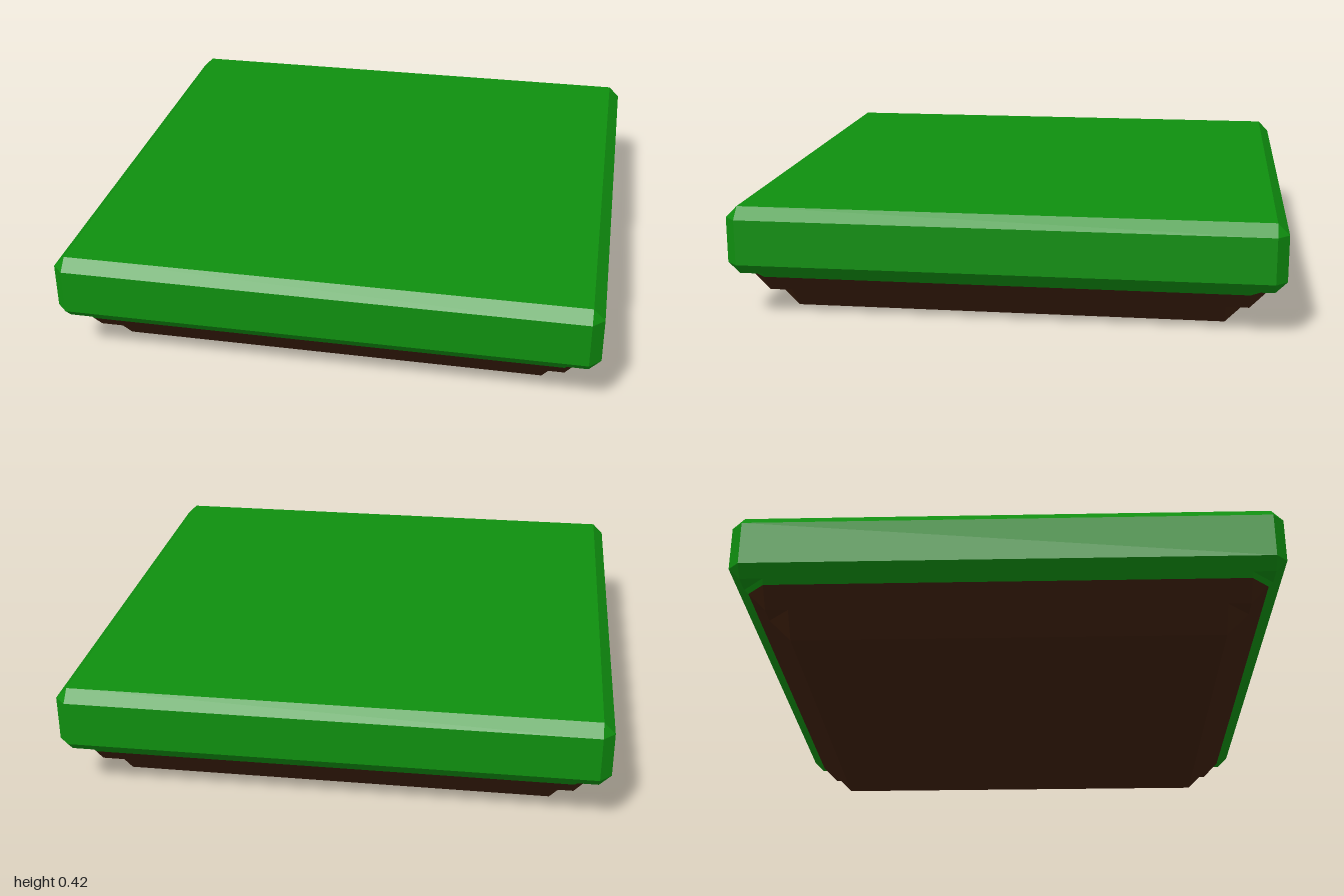
import * as THREE from 'three';

// Square ring of half-width h at height y, its corners cut back by c (8 points)
function ring([y, h, c]) {
  const pts = [];
  for (let i = 0; i < 4; i++) {
    const a = (i * Math.PI) / 2;
    for (const [x, z] of [[h, h - c], [h - c, h]]) {
      pts.push(new THREE.Vector3(
        x * Math.cos(a) - z * Math.sin(a), y, x * Math.sin(a) + z * Math.cos(a)));
    }
  }
  return pts;
}

// Flat-shaded skin over rings listed from top to bottom, with optional caps
function loft(name, color, sections, capTop, capBottom) {
  const pos = [];
  const tri = (a, b, c) => {
    const area = b.clone().sub(a).cross(c.clone().sub(a)).length();
    if (area > 1e-7) for (const p of [a, b, c]) pos.push(p.x, p.y, p.z);
  };
  const rings = sections.map(ring);
  for (let r = 0; r < rings.length - 1; r++) {
    const up = rings[r], low = rings[r + 1];
    for (let i = 0; i < 8; i++) {
      const j = (i + 1) % 8;
      tri(up[i], up[j], low[i]);
      tri(up[j], low[j], low[i]);
    }
  }
  const first = rings[0], last = rings[rings.length - 1];
  for (let i = 1; i < 7; i++) {
    if (capTop) tri(first[0], first[i + 1], first[i]);
    if (capBottom) tri(last[0], last[i], last[i + 1]);
  }
  const geo = new THREE.BufferGeometry();
  geo.setAttribute('position', new THREE.Float32BufferAttribute(pos, 3));
  geo.computeVertexNormals();
  const mesh = new THREE.Mesh(geo, new THREE.MeshStandardMaterial({ color, flatShading: true }));
  mesh.name = name;
  return mesh;
}

export function createModel() {
  const group = new THREE.Group();
  group.name = 'groundTile';

  // Bevelled turf slab with a sloping lower lip: [height, half-width, corner cut]
  group.add(loft('grass', 0x0f8f0f, [
    [0.417, 0.958, 0],
    [0.375, 1, 0.042],
    [0.208, 1, 0.042],
    [0.167, 0.958, 0],
    [0.167, 0.958, 0.083],
    [0.15, 0.941, 0.066],
  ], true, false));

  // Tapering earth below, its corners notched in steps
  group.add(loft('soil', 0x3f200c, [
    [0.15, 0.941, 0.066],
    [0.083, 0.875, 0],
    [0.083, 0.875, 0.083],
    [0, 0.792, 0],
  ], false, true));

  return group;
}
